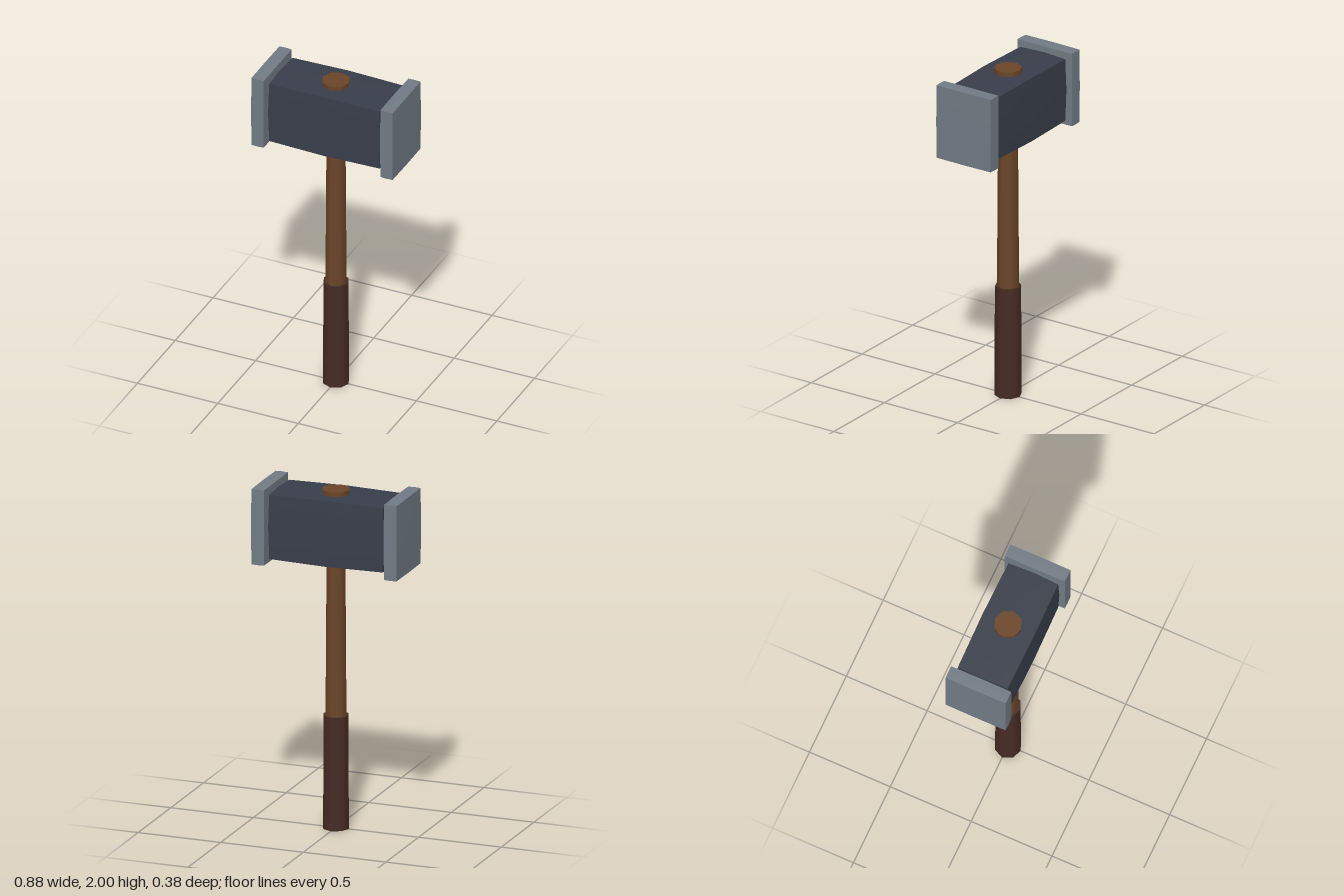
import * as THREE from 'three';

const mat = (name, color) => {
  const m = new THREE.MeshStandardMaterial({ color });
  m.name = name;
  return m;
};

// Box split in two on each axis, with edge and face centres swelling outwards
function bulgedBox(w, h, d, bulge) {
  const geo = new THREE.BoxGeometry(w, h, d, 2, 2, 2);
  const p = geo.attributes.position;
  for (let i = 0; i < p.count; i++) {
    const n = [p.getX(i) / (w / 2), p.getY(i) / (h / 2), p.getZ(i) / (d / 2)];
    // more swelling the closer the vertex is to the middle of its face
    const k = bulge * (3 - n.reduce((s, v) => s + Math.abs(v), 0)) / 2;
    p.setXYZ(i, p.getX(i) + n[0] * k, p.getY(i) + n[1] * k, p.getZ(i) + n[2] * k);
  }
  geo.computeVertexNormals();
  return geo;
}

export function createModel() {
  const model = new THREE.Group();
  model.name = 'hammer';

  const iron = mat('dark iron', 0x383e4a);
  const steel = mat('grey steel', 0x717b85);
  const wood = mat('brown wood', 0x6b4528);
  const leather = mat('dark leather', 0x462b24);

  const add = (name, geo, material, x, y) => {
    const mesh = new THREE.Mesh(geo, material);
    mesh.name = name;
    mesh.position.set(x, y, 0);
    model.add(mesh);
  };

  // Eight-sided post from y0 to y1
  const post = (name, rTop, rBottom, y0, y1, material) =>
    add(name, new THREE.CylinderGeometry(rTop, rBottom, y1 - y0, 8), material, 0, (y0 + y1) / 2);

  // Handle, grip and the wooden collar that passes through the head
  post('grip', 0.075, 0.078, 0, 0.667, leather);
  post('handle', 0.057, 0.064, 0.6, 1.6, wood);
  post('collar', 0.081, 0.081, 1.556, 2, wood);

  // Head block with a striking plate at each end
  const headY = 1.778;
  add('head', bulgedBox(0.686, 0.378, 0.308, 0.01), iron, 0, headY);
  for (const [side, name] of [[1, 'leftPlate'], [-1, 'rightPlate']]) {
    add(name, bulgedBox(0.076, 0.443, 0.371, 0.002), steel, side * 0.401, headY);
  }
  return model;
}
